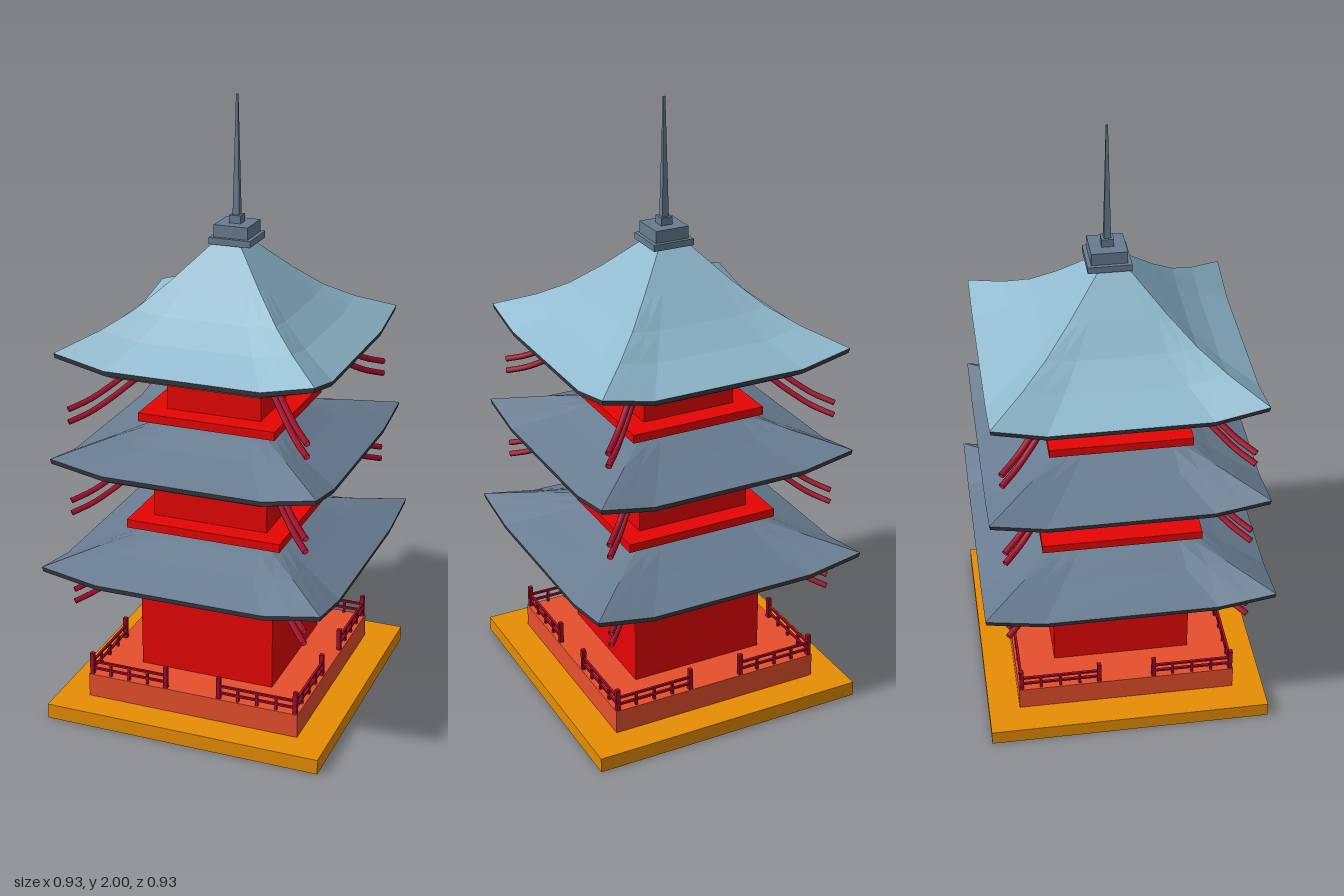
import * as THREE from 'three';

const mat = (name, color) => {
  const m = new THREE.MeshStandardMaterial({ color, side: THREE.DoubleSide });
  m.name = name;
  return m;
};

// Square loft: each ring is [halfWidth, y, cornerLift]; rings run from the top outwards and down.
function loft(rings, bends = [-1, 1]) {
  const pos = [];
  const point = ([h, y, lift = 0], t, side) => {
    const rise = Math.max(0, (Math.abs(t) - 0.6) / 0.4);
    return new THREE.Vector3(t * h, y + lift * rise, h)
      .applyAxisAngle(new THREE.Vector3(0, 1, 0), side * Math.PI / 2);
  };
  for (let side = 0; side < 4; side++) {
    for (let i = 0; i < rings.length - 1; i++) {
      for (let j = 0; j < bends.length - 1; j++) {
        const a = point(rings[i], bends[j], side), b = point(rings[i], bends[j + 1], side);
        const c = point(rings[i + 1], bends[j + 1], side), d = point(rings[i + 1], bends[j], side);
        for (const p of [d, c, b, d, b, a]) pos.push(p.x, p.y, p.z);
      }
    }
  }
  const g = new THREE.BufferGeometry();
  g.setAttribute('position', new THREE.Float32BufferAttribute(pos, 3));
  g.computeVertexNormals();
  return g;
}

export function createModel() {
  const red = mat('vermilion', 0xe80404);
  const maroon = mat('maroon', 0x600a0a);
  const crimson = mat('crimson', 0xa00a28);
  const orange = mat('ochre', 0xe88e04);
  const terracotta = mat('terracotta', 0xe8502c);
  const paleBlue = mat('pale blue tile', 0x90bacf);
  const slate = mat('slate tile', 0x687c91);
  const darkSlate = mat('dark slate', 0x3c3c46);
  const brown = mat('dark brown', 0x80463e);
  const soffitGrey = mat('soffit grey', 0x5e565e);

  const model = new THREE.Group();
  const add = (name, geometry, material, parent = model) => {
    const mesh = new THREE.Mesh(geometry, material);
    mesh.name = name;
    parent.add(mesh);
    return mesh;
  };

  // Hollow stepped base
  add('base', loft([[0.362, 0.05], [0.465, 0.05], [0.465, 0]]), orange);
  add('foundation', loft([[0.228, 0.13], [0.362, 0.13], [0.362, 0.05]]), terracotta);

  // Storeys: wall and bracket rings, roof rings, balcony and strut end height
  const storeys = [
    {
      wall: [[0.228, 0.4], [0.228, 0.13]],
      bracket: [[0.28, 0.5], [0.28, 0.475], [0.25, 0.415], [0.228, 0.4]], bracketColor: maroon,
      roof: [[0.15, 0.637], [0.24, 0.605], [0.33, 0.567, 0.018], [0.465, 0.516, 0.032]],
      tile: slate, strutY: 0.405,
    },
    {
      balcony: [0.26, 0.632, 0.66],
      wall: [[0.193, 0.77], [0.193, 0.65]],
      bracket: [[0.24, 0.87], [0.24, 0.805], [0.22, 0.778], [0.193, 0.77]], bracketColor: red,
      roof: [[0.14, 1.0], [0.21, 0.972], [0.29, 0.935, 0.018], [0.436, 0.88, 0.032]],
      tile: slate, strutY: 0.717,
    },
    {
      balcony: [0.228, 0.992, 1.02],
      wall: [[0.158, 1.128], [0.158, 1.01]],
      bracket: [[0.21, 1.21], [0.21, 1.158], [0.192, 1.135], [0.158, 1.128]], bracketColor: red,
      roof: [[0.045, 1.545], [0.15, 1.435], [0.23, 1.35, 0.012], [0.31, 1.285, 0.025], [0.419, 1.22, 0.037]],
      tile: paleBlue, strutY: 1.025,
    },
  ];
  const bends = [-1, -0.8, -0.6, 0.6, 0.8, 1];

  storeys.forEach(({ balcony, wall, bracket, bracketColor, roof, tile, strutY }, n) => {
    const storey = new THREE.Group();
    storey.name = `storey${n + 1}`;
    model.add(storey);
    add('walls', loft(wall), red, storey);
    add('brackets', loft(bracket), bracketColor, storey);
    if (balcony) {
      const [h, y0, y1] = balcony;
      add('balcony', loft([[0.15, y1], [h, y1], [h, y0], [0.15, y0]]), red, storey);
    }

    // Curved roof with stepped eaves underneath
    add('roof', loft(roof, bends), tile, storey);
    const [h, y, lift] = roof[roof.length - 1];
    add('eaveEdge', loft([[h, y, lift], [h - 0.003, y - 0.016, lift], [h - 0.022, y - 0.016, lift]], bends), darkSlate, storey);
    add('eaveStep', loft([[h - 0.022, y - 0.014, lift], [h - 0.024, y - 0.028, lift],
      [h - 0.05, y - 0.026, lift * 0.9]], bends), brown, storey);
    add('innerEaveEdge', loft([[h - 0.05, y - 0.024, lift * 0.9], [h - 0.052, y - 0.032, lift * 0.85],
      [h - 0.075, y - 0.03, lift * 0.75]], bends), soffitGrey, storey);
    add('innerEaveStep', loft([[h - 0.075, y - 0.028, lift * 0.75], [h - 0.077, y - 0.034, lift * 0.7],
      [h - 0.105, y - 0.032, lift * 0.5]], bends), brown, storey);
    add('soffit', loft([[h - 0.105, y - 0.03, lift * 0.5], [bracket[0][0] - 0.01, y - 0.02]], bends), soffitGrey, storey);

    // Paired curved struts under each corner
    for (const rise of [0, 0.042]) {
      const path = new THREE.CatmullRomCurve3([[0.18, 0.15], [0.23, 0.11], [0.29, 0.058], [0.34, 0.022], [0.39, 0]]
        .map(([d, up]) => new THREE.Vector3(d, strutY + rise + up, d)));
      const tube = new THREE.TubeGeometry(path, 12, 0.01, 6);
      for (let k = 0; k < 4; k++) add('cornerStrut', tube, crimson, storey).rotation.y = k * Math.PI / 2;
    }
  });

  // Railings, open in the middle of every side
  const bar = (parent, name, w, h, x, y) =>
    add(name, new THREE.BoxGeometry(w, h, w > 0.05 ? 0.008 : w), crimson, parent).position.set(x, y, 0.352);
  for (let k = 0; k < 4; k++) {
    const side = new THREE.Group();
    side.name = 'railing';
    side.rotation.y = k * Math.PI / 2;
    model.add(side);
    bar(side, 'cornerPost', 0.014, 0.075, 0.352, 0.1675);
    for (const s of [-1, 1]) {
      bar(side, 'endPost', 0.014, 0.075, s * 0.092, 0.1675);
      for (const y of [0.15, 0.174]) bar(side, 'rail', 0.26, 0.007, s * 0.222, y);
      for (const x of [0.157, 0.222, 0.287]) bar(side, 'baluster', 0.008, 0.044, s * x, 0.152);
    }
  }

  // Stepped cap and tapering spire
  const finial = new THREE.Group();
  finial.name = 'finial';
  finial.position.set(0.013, 0, -0.012);
  model.add(finial);
  for (const [half, y0, y1] of [[0.068, 1.542, 1.563], [0.056, 1.563, 1.602], [0.019, 1.602, 1.627]]) {
    add('capStep', new THREE.BoxGeometry(half * 2, y1 - y0, half * 2), slate, finial).position.y = (y0 + y1) / 2;
  }
  add('spire', loft([[0, 2], [0.003, 2], [0.011, 1.62]]), slate, finial);

  return model;
}
